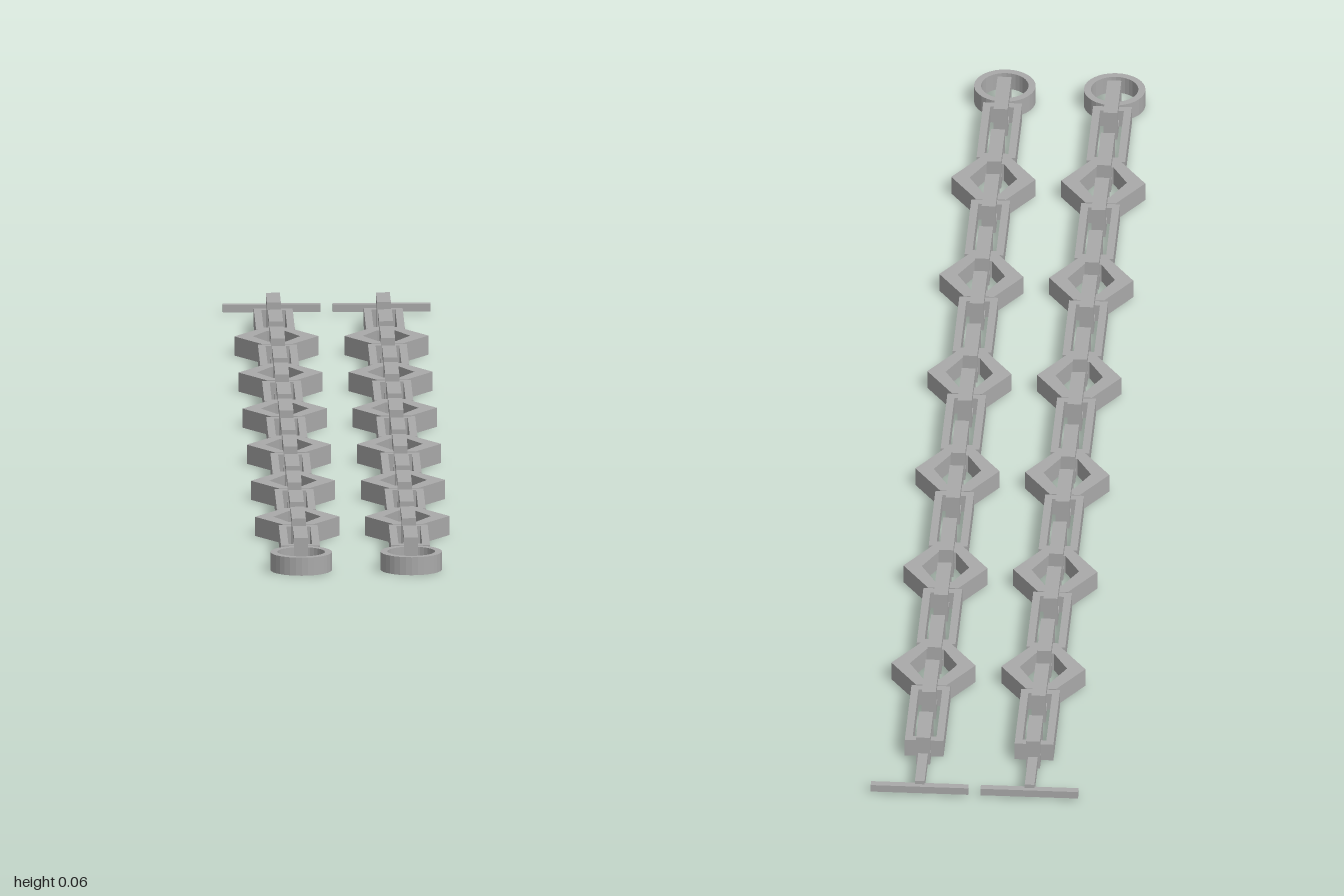
import * as THREE from 'three';

const steel = new THREE.MeshStandardMaterial({ color: 0xaaaaaa });
steel.name = 'steel grey';

// closed outline with a hole, extruded and centred on its depth
function frame(outer, inner, depth) {
  const toPoints = (list) => list.map(([x, y]) => new THREE.Vector2(x, y));
  const shape = new THREE.Shape(toPoints(outer));
  shape.holes.push(new THREE.Path(toPoints(inner)));
  const geo = new THREE.ExtrudeGeometry(shape, { depth, bevelEnabled: false });
  return geo.translate(0, 0, -depth / 2);
}
const rect = (a, b) => [[-a, -b], [a, -b], [a, b], [-a, b]];
const hexagon = (end, half, tip) =>
  [[-end, -half], [0, -tip], [end, -half], [end, half], [0, tip], [-end, half]];
const circle = (r, n = 32) => Array.from({ length: n }, (_, i) => {
  const a = (i / n) * Math.PI * 2;
  return [r * Math.cos(a), r * Math.sin(a)];
});
const layFlat = (geo) => geo.rotateX(-Math.PI / 2);

function createChain(name) {
  const chain = new THREE.Group();
  chain.name = name;
  const add = (part, geo, x, y) => {
    const mesh = new THREE.Mesh(geo, steel);
    mesh.name = part;
    mesh.position.set(x, y, 0);
    chain.add(mesh);
  };

  const pitch = 0.343, firstHex = -0.9, linkHalf = 0.0965, flatY = 0.019;
  const hexGeo = layFlat(frame(hexagon(0.074, 0.028, 0.078), hexagon(0.052, 0.016, 0.044), 0.036));
  const longGeo = layFlat(frame(rect(linkHalf, 0.036), rect(0.082, 0.022), 0.034));
  // upright link joining two flat ones
  const uprightGeo = frame(rect(0.057, 0.029), rect(0.042, 0.015), 0.026);
  const endUprightGeo = frame(rect(0.046, 0.029), rect(0.031, 0.015), 0.026);

  // clasp ring
  add('claspRing', layFlat(frame(circle(0.057), circle(0.044), 0.034)), -1.229, flatY);

  // alternating flat links
  for (let i = 0; i < 6; i++) add('hexLink', hexGeo, firstHex + i * pitch, flatY);
  for (let i = 0; i < 7; i++) {
    const x = firstHex + (i - 0.5) * pitch;
    add('longLink', longGeo, x, flatY);
    add('uprightLink', uprightGeo, x - linkHalf + 0.004, 0.031);
    if (i < 6) add('uprightLink', uprightGeo, x + linkHalf - 0.004, 0.031);
    else add('endUprightLink', endUprightGeo, x + 0.08, 0.031);
  }

  // toggle: stem and crossbar
  add('toggleStem', new THREE.BoxGeometry(0.12, 0.02, 0.018), 1.15, 0.016);
  add('toggleBar', new THREE.BoxGeometry(0.014, 0.014, 0.181), 1.212, 0.012);
  return chain;
}

export function createModel() {
  const model = new THREE.Group();
  model.name = 'chainPair';
  // two parallel chains lying diagonally
  for (const side of [-1, 1]) {
    const chain = createChain(side < 0 ? 'backChain' : 'frontChain');
    chain.rotation.y = Math.PI / 4;
    chain.position.set(side * 0.072, 0, side * 0.072);
    model.add(chain);
  }
  return model;
}
